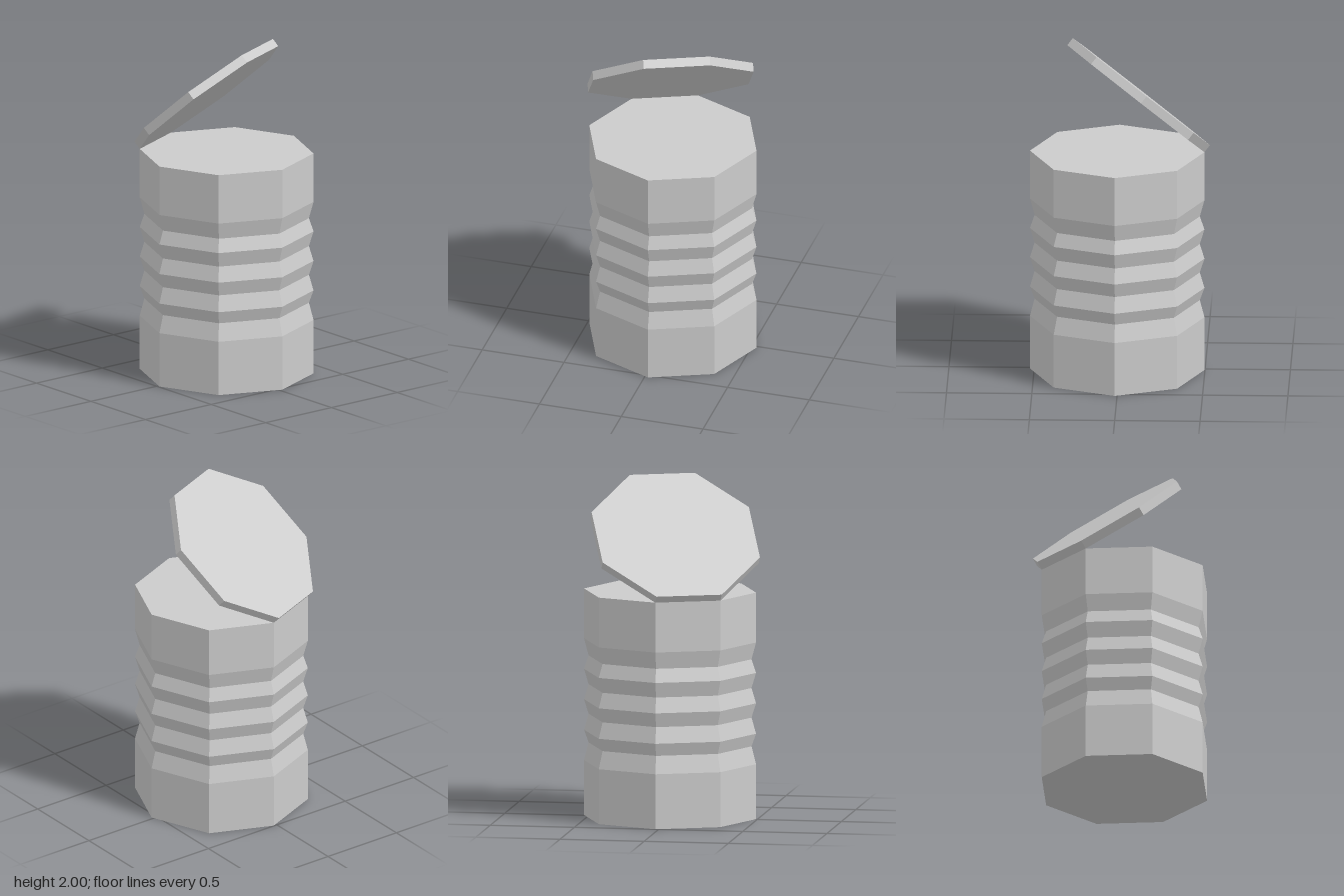
import * as THREE from 'three';

const SIDES = 8;
const RADIUS = 0.511;
const HEIGHT = 1.34;
const APOTHEM = RADIUS * Math.cos(Math.PI / SIDES);

export function createModel() {
  const model = new THREE.Group();
  const material = new THREE.MeshStandardMaterial({ color: 0xcccccc, flatShading: true });

  // Can body: closed octagonal profile with four pressed-in grooves
  const grooveRadius = 0.484;
  const profile = [[0, 0], [RADIUS, 0], [RADIUS, 0.325]];
  const grooves = [0.43, 0.6, 0.775, 0.945];
  const ridges = [0.505, 0.685, 0.865, 1.045];
  grooves.forEach((y, i) => profile.push([grooveRadius, y], [RADIUS, ridges[i]]));
  profile.push([RADIUS, HEIGHT], [0, HEIGHT]);
  const body = new THREE.Mesh(
    new THREE.LatheGeometry(profile.map(([r, y]) => new THREE.Vector2(r, y)), SIDES),
    material
  );
  body.name = 'canBody';

  // Lid: octagonal plate, its origin moved to the middle of the lower hinge edge
  const thickness = 0.053;
  const lidGeometry = new THREE.CylinderGeometry(RADIUS, RADIUS, thickness, SIDES);
  lidGeometry.rotateY(Math.PI / SIDES);
  lidGeometry.translate(APOTHEM, thickness / 2, 0);
  const lid = new THREE.Mesh(lidGeometry, material);
  lid.name = 'lid';
  lid.rotation.z = THREE.MathUtils.degToRad(41.2);
  lid.position.set(-APOTHEM, HEIGHT, 0);

  // Hinge sits on one flat side of the can
  const hinge = new THREE.Group();
  hinge.name = 'lidHinge';
  hinge.rotation.y = Math.PI / SIDES;
  hinge.add(lid);

  model.add(body, hinge);
  model.position.set(0, 0, 0);
  for (const part of [body, hinge]) part.position.set(0.014, 0, -0.02);
  return model;
}
